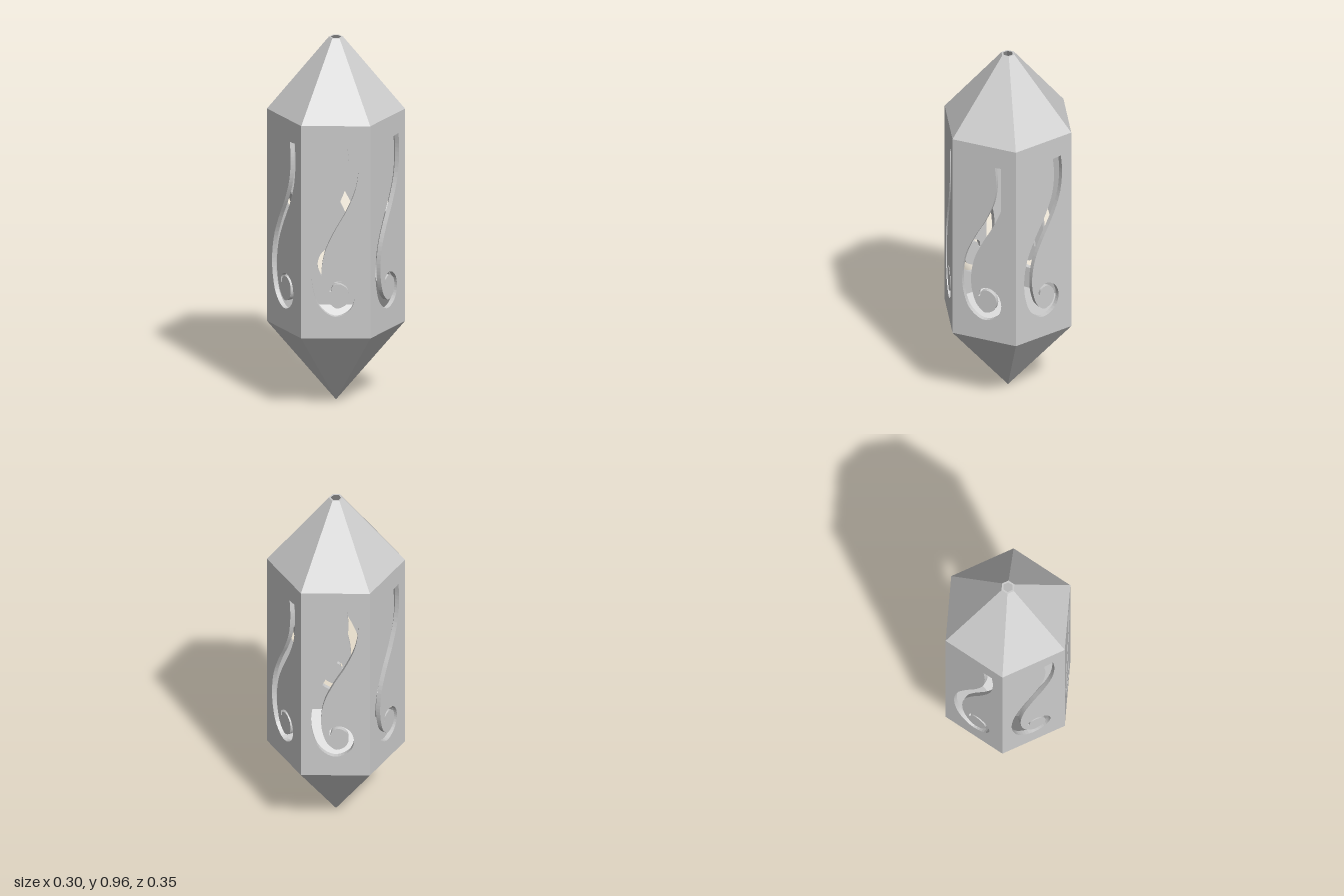
import * as THREE from 'three';

const R = 0.174, WALL = 0.012, LOW = 0.44, HIGH = 1.0;
const APOTHEM = R * Math.cos(Math.PI / 6);

// Scroll centreline on a panel: across, height, half width
const SCROLL = [
  [0.042, 0.944, 0.0125], [0.0455, 0.896, 0.0125], [0.038, 0.837, 0.0125], [0.015, 0.78, 0.0125],
  [-0.016, 0.724, 0.0125], [-0.0395, 0.67, 0.0125], [-0.0485, 0.614, 0.0125], [-0.044, 0.567, 0.0125],
  [-0.029, 0.529, 0.0125], [0, 0.508, 0.011], [0.029, 0.52, 0.009], [0.04, 0.545, 0.007],
  [0.033, 0.573, 0.005], [0.0095, 0.587, 0.004], [-0.01, 0.579, 0.003], [-0.014, 0.563, 0.002],
];

// Closed outline of the scroll, its two edges offset from the centreline
function scrollHole() {
  const curve = new THREE.CatmullRomCurve3(SCROLL.map(p => new THREE.Vector3(...p)));
  const left = [], right = [], n = 72;
  for (let i = 0; i <= n; i++) {
    const p = curve.getPoint(i / n), d = curve.getTangent(i / n);
    const len = Math.hypot(d.x, d.y);
    const nx = -d.y / len * p.z, ny = d.x / len * p.z;
    left.push(new THREE.Vector2(p.x + nx, p.y + ny));
    right.push(new THREE.Vector2(p.x - nx, p.y - ny));
  }
  return new THREE.Path([...left, ...right.reverse()]);
}

// One pierced wall panel, its side edges mitred to meet its neighbours
function panelGeometry() {
  const h = R / 2;
  const shape = new THREE.Shape([[-h, LOW], [h, LOW], [h, HIGH], [-h, HIGH]].map(p => new THREE.Vector2(...p)));
  shape.holes.push(scrollHole());
  const geo = new THREE.ExtrudeGeometry(shape, { depth: WALL, bevelEnabled: false });
  geo.translate(0, 0, APOTHEM - WALL);
  const pos = geo.attributes.position;
  for (let i = 0; i < pos.count; i++) {
    const x = pos.getX(i);
    if (Math.abs(x) > h - 0.001) pos.setX(i, Math.sign(x) * pos.getZ(i) * Math.tan(Math.PI / 6));
  }
  geo.computeVertexNormals();
  return geo;
}

export function createModel() {
  const lantern = new THREE.Group();
  lantern.name = 'hexagonalLantern';
  const material = new THREE.MeshStandardMaterial({ color: 0xcccccc, flatShading: true, side: THREE.DoubleSide });
  const add = (name, geo) => {
    const mesh = new THREE.Mesh(geo, material);
    mesh.name = name;
    lantern.add(mesh);
    return mesh;
  };
  const hexShell = profile => new THREE.LatheGeometry(profile.map(p => new THREE.Vector2(...p)), 6);
  const inner = R - WALL / Math.cos(Math.PI / 6);

  // Six pierced walls
  const panel = panelGeometry();
  for (let k = 0; k < 6; k++) add('wallPanel' + (k + 1), panel).rotation.y = Math.PI / 6 + k * Math.PI / 3;

  // Hollow roof with a small opening at its tip
  add('roof', hexShell([[inner, HIGH], [R, HIGH], [0.018, 1.19], [0.013, 1.19], [inner, HIGH]]));

  // Hollow pointed base
  add('pointedBase', hexShell([[0, 0.233], [R, LOW], [inner, LOW], [0, 0.252]]));

  lantern.position.z = -0.826;
  const model = new THREE.Group();
  model.name = 'lanternModel';
  model.add(lantern);
  return model;
}
